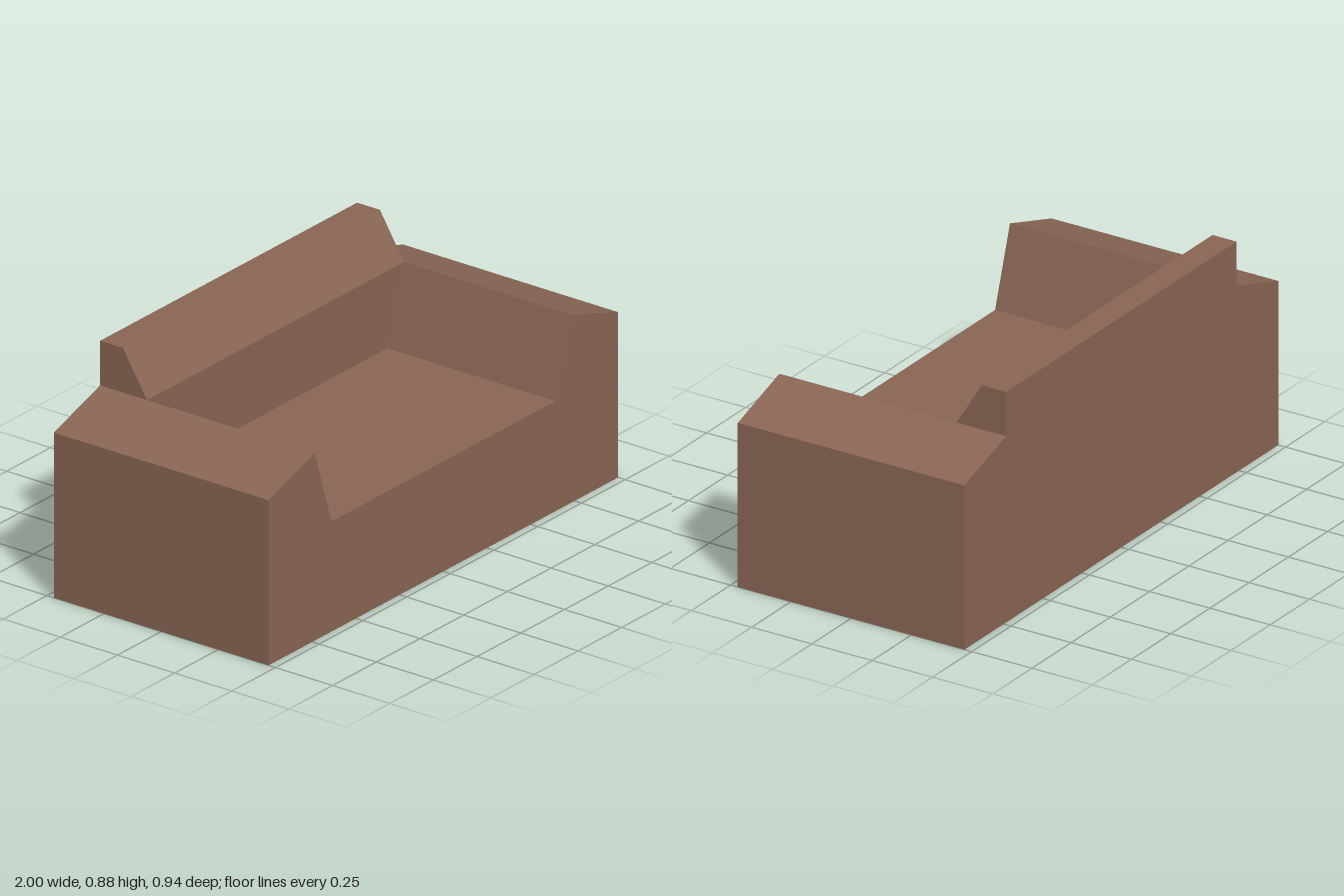
import * as THREE from 'three';

// Extrude a closed outline of [x, y] points along z, from z0 to z1
function prism(points, z0, z1) {
  const shape = new THREE.Shape(points.map(([x, y]) => new THREE.Vector2(x, y)));
  const geometry = new THREE.ExtrudeGeometry(shape, { depth: z1 - z0, bevelEnabled: false });
  return geometry.translate(0, 0, z0);
}

export function createModel() {
  const sofa = new THREE.Group();
  sofa.name = 'sofa';

  const upholstery = new THREE.MeshStandardMaterial({ color: 0x8a6655 });
  upholstery.name = 'brown upholstery';

  const add = (name, geometry) => {
    const mesh = new THREE.Mesh(geometry, upholstery);
    mesh.name = name;
    sofa.add(mesh);
  };

  const halfDepth = 0.47;
  const backFront = -0.265;
  const armInner = 0.735, armTop = 0.715, armOuter = 0.63;
  const seatHalf = 0.64, seatTop = 0.42;

  // Base, seat and sloping arms share one outline
  const rightHalf = [[1, 0], [1, armOuter], [armInner, armTop], [seatHalf, seatTop]];
  const leftHalf = rightHalf.map(([x, y]) => [-x, y]).reverse();
  add('seatAndArms', prism([...rightHalf, ...leftHalf], -halfDepth, halfDepth));

  // Lower backrest fills the gap between the arms
  add('lowerBackrest', prism([
    [-seatHalf, seatTop], [seatHalf, seatTop], [armInner, armTop], [-armInner, armTop],
  ], -halfDepth, backFront));

  // Upper backrest: a side outline (-z, y) with a sloping front, turned to run along x
  const upper = prism([
    [-backFront, armTop], [halfDepth, armTop], [halfDepth, 0.885], [0.37, 0.885],
  ], -armInner, armInner);
  add('upperBackrest', upper.rotateY(Math.PI / 2));

  return sofa;
}
